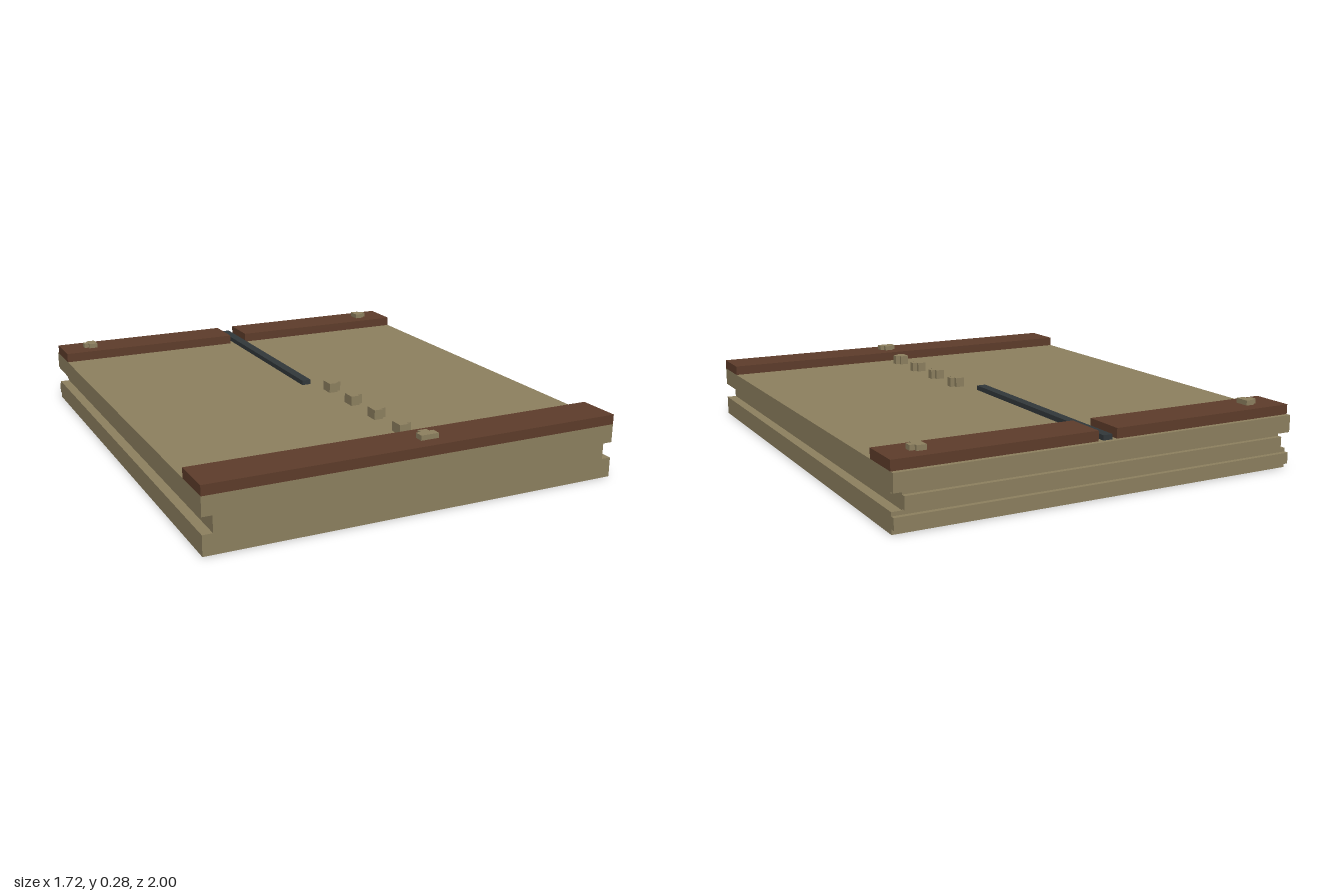
import * as THREE from 'three';

const tan = new THREE.MeshStandardMaterial({ color: 0x8e8160, name: 'tan' });
const brown = new THREE.MeshStandardMaterial({ color: 0x5f3d2b, name: 'brown' });
const slate = new THREE.MeshStandardMaterial({ color: 0x32383b, name: 'slate' });

export function createModel() {
  const model = new THREE.Group();
  model.name = 'slidingBoard';

  // Box from its minimum and maximum on each axis
  const block = (name, mat, [x0, x1], [y0, y1], [z0, z1], parent = model) => {
    const mesh = new THREE.Mesh(new THREE.BoxGeometry(x1 - x0, y1 - y0, z1 - z0), mat);
    mesh.position.set((x0 + x1) / 2, (y0 + y1) / 2, (z0 + z1) / 2);
    mesh.name = name;
    parent.add(mesh);
    return mesh;
  };

  // Board with a groove along each side
  const half = [[0.86, 0], [0.86, 0.08], [0.82, 0.08], [0.82, 0.145], [0.86, 0.145], [0.86, 0.22]];
  const mirrored = half.map(([x, y]) => [-x, y]).reverse();
  const section = new THREE.Shape([...half, ...mirrored].map(([x, y]) => new THREE.Vector2(x, y)));
  const board = new THREE.Mesh(
    new THREE.ExtrudeGeometry(section, { depth: 1.98, bevelEnabled: false }), tan);
  board.position.z = -0.98;
  board.name = 'board';
  model.add(board);

  // Raised ridges along the back edge
  for (const [y0, y1, w] of [[0.15, 0.22, 0.86], [0.085, 0.135, 0.82], [0.02, 0.065, 0.86]]) {
    block('backRidge', tan, [-w, w], [y0, y1], [-1, -0.98]);
  }

  // Rails on the top, the back one split around the bar
  block('frontRail', brown, [-0.86, 0.86], [0.22, 0.26], [0.82, 1]);
  block('backRailLeft', brown, [0.04, 0.86], [0.22, 0.26], [-0.98, -0.805]);
  block('backRailRight', brown, [-0.86, -0.04], [0.22, 0.26], [-0.98, -0.805]);
  block('centreBar', slate, [-0.02, 0.02], [0.22, 0.24], [-0.98, 0]);

  // Stud: a block with a small nub pointing along its local +x
  const stud = (name, x, y, z, height, turn, width = 0.06) => {
    const group = new THREE.Group();
    group.name = name;
    block('studBlock', tan, [-0.02, 0.018], [0, height], [-width / 2, width / 2], group);
    block('studNub', tan, [0.018, 0.038], [0, height], [-width / 4, width / 4], group);
    group.position.set(x, y, z);
    group.rotation.y = turn;
    model.add(group);
  };
  for (const z of [0.125, 0.325, 0.525, 0.725]) stud('centreStud', 0.057, 0.22, z, 0.04, 0);
  stud('backStudLeft', 0.72, 0.26, -0.893, 0.02, 0);
  stud('backStudRight', -0.72, 0.26, -0.893, 0.02, Math.PI);
  stud('frontStud', 0.057, 0.26, 0.92, 0.02, Math.PI / 2, 0.075);

  return model;
}
